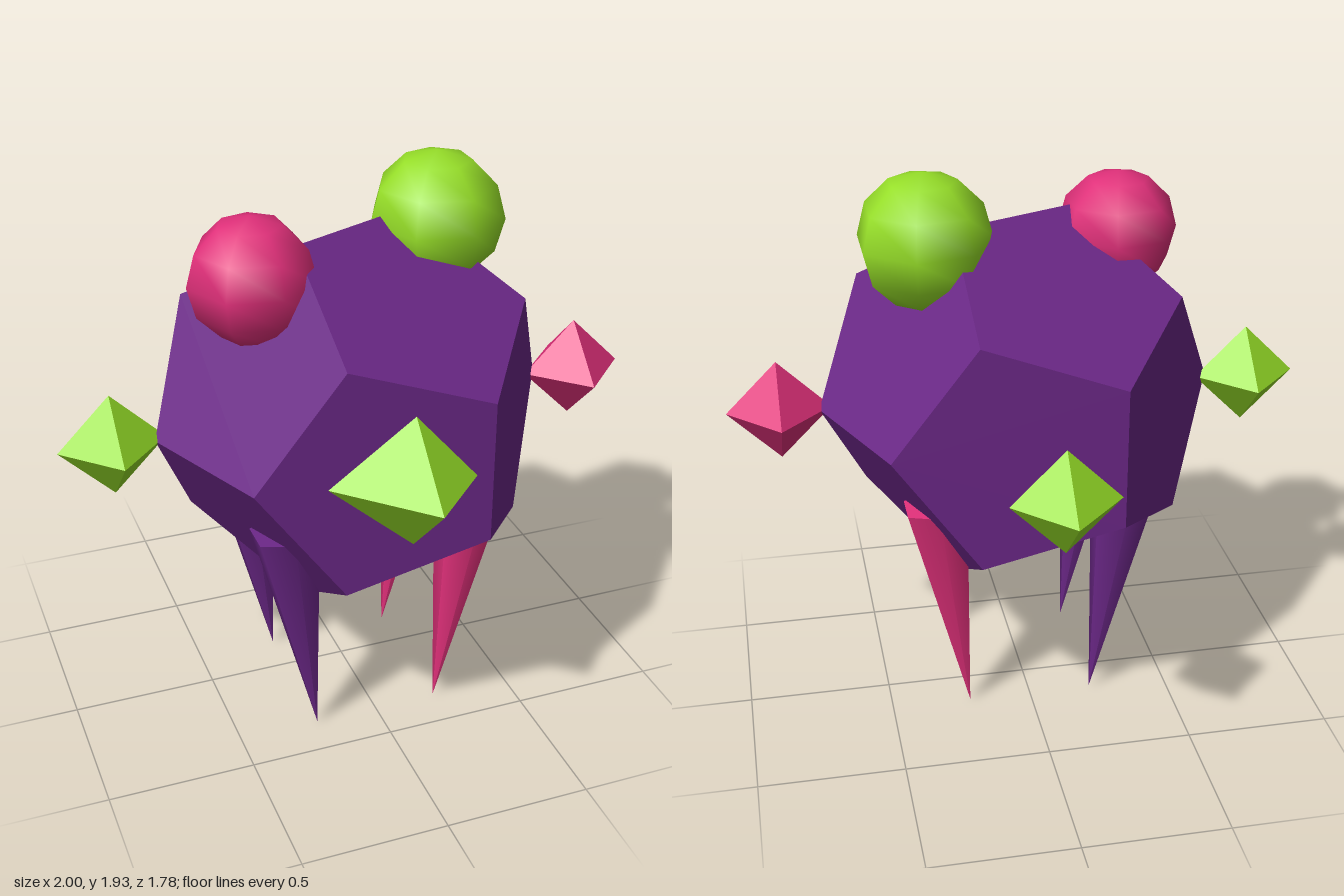
import * as THREE from 'three';

const paint = (name, color) => {
  const m = new THREE.MeshStandardMaterial({ color });
  m.name = name;
  return m;
};

export function createModel() {
  const purple = paint('purple', 0x6a2786);
  const pink = paint('pink', 0xe0307a);
  const green = paint('green', 0x96de28);

  const model = new THREE.Group();
  model.name = 'creature';
  const CY = 1.1, CZ = 0.106; // body centre

  const add = (name, geometry, material, x, y, z) => {
    const mesh = new THREE.Mesh(geometry, material);
    mesh.name = name;
    mesh.position.set(x, y, z);
    model.add(mesh);
    return mesh;
  };

  // Faceted body, turned a little to its left
  const body = add('body', new THREE.DodecahedronGeometry(0.687), purple, 0, CY, CZ);
  body.rotation.y = 0.4;
  body.scale.y = 0.993;

  // Round bumps on the head
  add('leftHeadBall', new THREE.SphereGeometry(0.23, 7, 6), green, 0.32, 1.7, 0.03);
  add('rightHeadBall', new THREE.SphereGeometry(0.209, 7, 6), pink, -0.365, 1.641, 0.187);

  // Crystals around the middle, three of them floating
  const crystal = new THREE.OctahedronGeometry(0.178);
  add('leftCrystal', crystal, pink, 0.822, CY, CZ);
  add('rightCrystal', crystal, green, -0.822, CY, CZ);
  add('backCrystal', crystal, green, 0, CY, -0.714);
  add('frontCrystal', new THREE.OctahedronGeometry(0.28), green, 0, CY, 0.606);

  // Spike legs: the tip is the origin, the top leans outwards
  const length = 0.83;
  const spike = new THREE.ConeGeometry(0.118, length, 6);
  spike.rotateX(Math.PI).translate(0, length / 2, 0);
  for (const side of [1, -1]) {
    for (const end of [1, -1]) {
      const name = (end > 0 ? 'front' : 'back') + (side > 0 ? 'Left' : 'Right') + 'Leg';
      const leg = add(name, spike, side > 0 ? pink : purple, side * 0.22, 0, CZ + end * 0.25);
      leg.rotation.z = -side * 0.13;
    }
  }
  return model;
}
